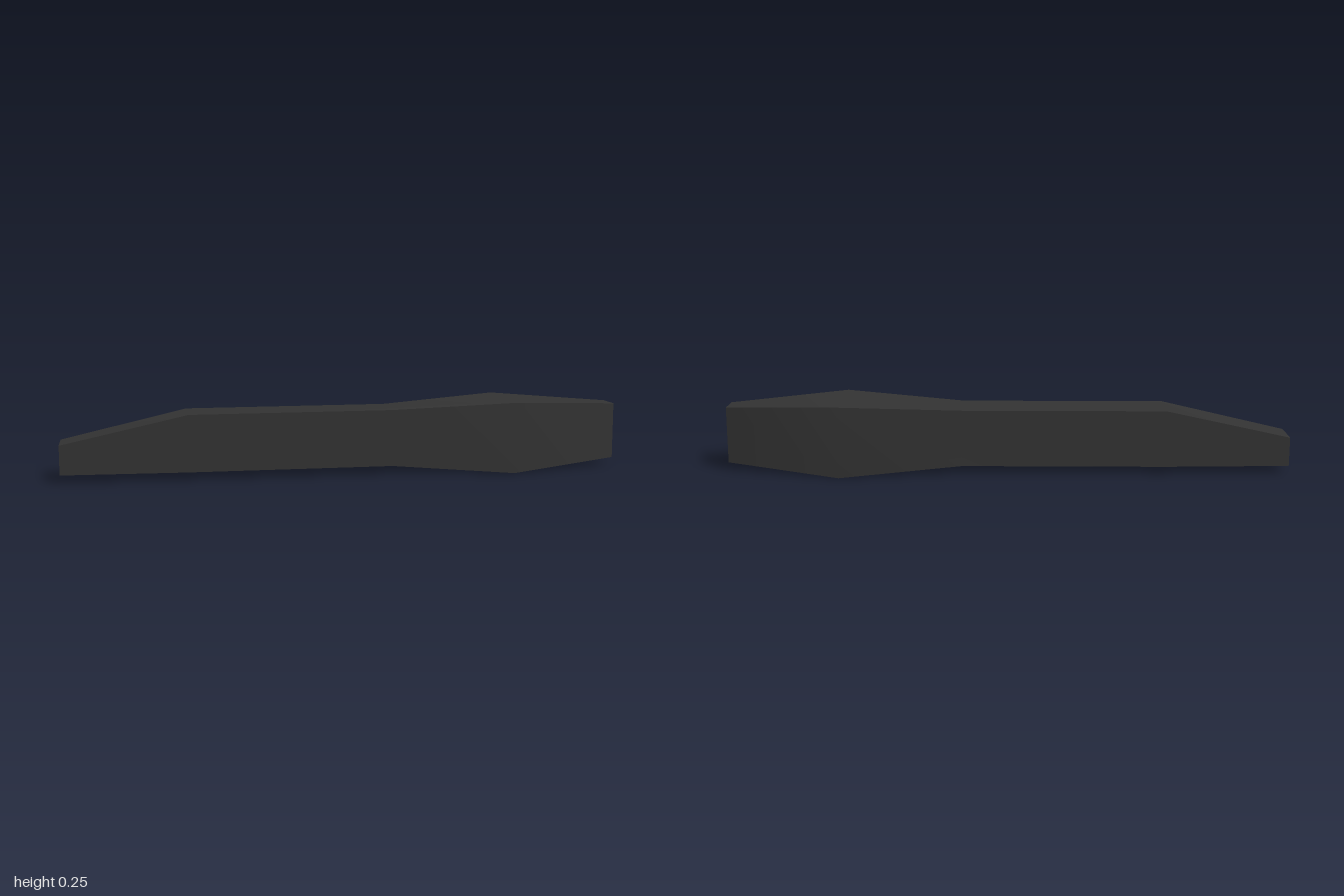
import * as THREE from 'three';

// Cross-sections along x: [x, bottom, top, half depth]
const sections = [
  [-1, 0.027, 0.13, 0.068],
  [-0.56, 0.027, 0.228, 0.087],
  [0.16, 0.027, 0.228, 0.087],
  [0.59, 0, 0.253, 0.158],
  [1, 0.027, 0.228, 0.046],
];

// Corners of a section, counter-clockwise seen from +x
const corners = ([x, y0, y1, d]) => [[x, y0, d], [x, y0, -d], [x, y1, -d], [x, y1, d]];

function bodyGeometry() {
  const positions = [];
  const index = [];
  const rings = sections.map(corners);

  // Four long sides, each smooth along its length with sharp edges between them
  for (let side = 0; side < 4; side++) {
    const base = positions.length / 3;
    for (const ring of rings) positions.push(...ring[side], ...ring[(side + 1) % 4]);
    for (let i = 0; i < rings.length - 1; i++) {
      const a = base + i * 2;
      index.push(a, a + 1, a + 3, a, a + 3, a + 2);
    }
  }

  // Flat end caps
  for (const ring of [rings[rings.length - 1], [...rings[0]].reverse()]) {
    const base = positions.length / 3;
    positions.push(...ring.flat());
    index.push(base, base + 1, base + 2, base, base + 2, base + 3);
  }

  const geometry = new THREE.BufferGeometry();
  geometry.setAttribute('position', new THREE.Float32BufferAttribute(positions, 3));
  geometry.setIndex(index);
  geometry.computeVertexNormals();
  return geometry;
}

export function createModel() {
  const charcoal = new THREE.MeshStandardMaterial({ color: 0x333333 });
  charcoal.name = 'charcoal';

  const body = new THREE.Mesh(bodyGeometry(), charcoal);
  body.name = 'taperedBody';

  const group = new THREE.Group();
  group.name = 'taperedBar';
  group.add(body);
  return group;
}
